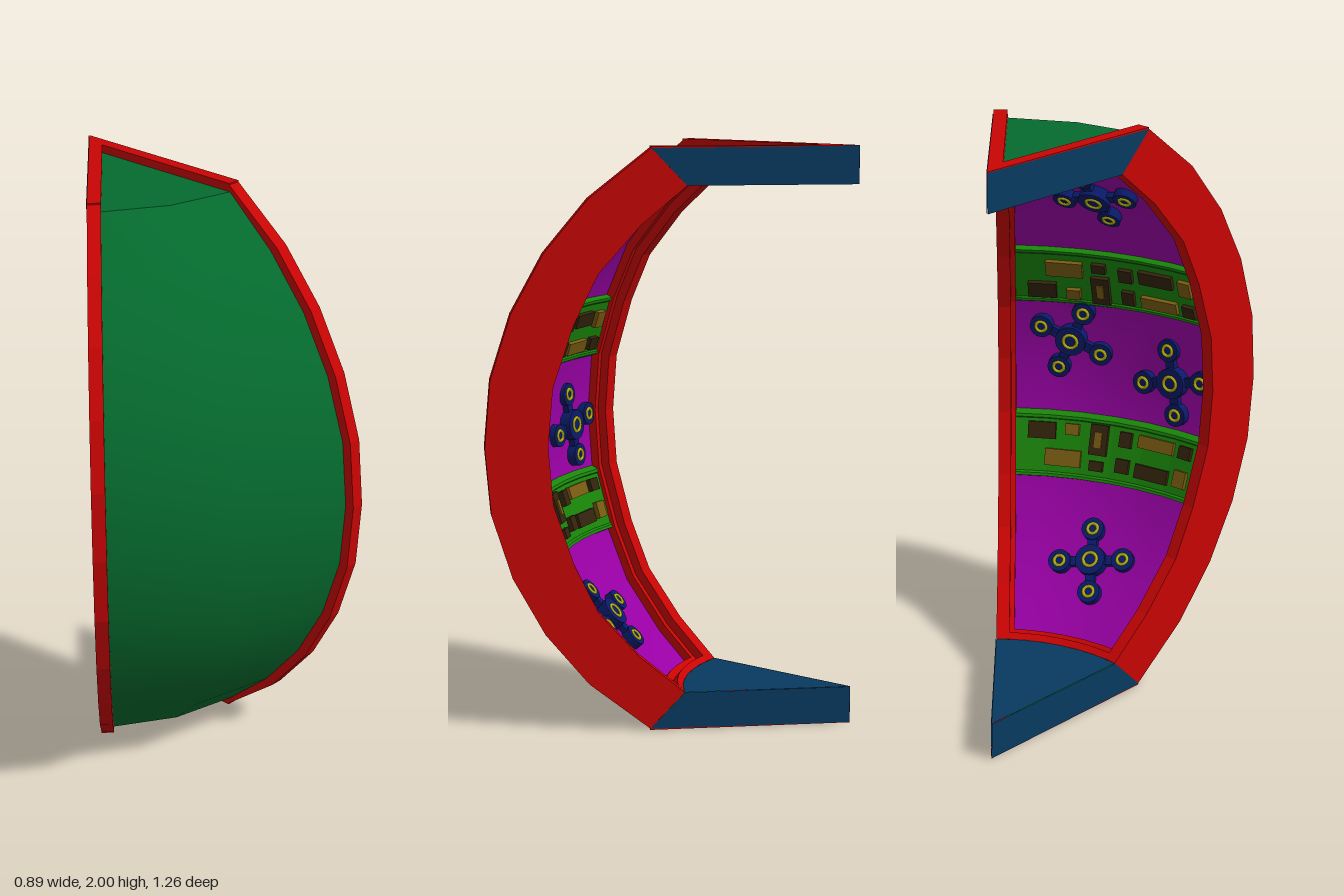
import * as THREE from 'three';

const D = 0.045;                 // width of the rim along the cut planes
const STEP = 0.062;              // width of the stepped inner frame
const WEDGE = Math.PI / 4;       // the slice spans 45 degrees about the axis r = 0
const TIP = D / Math.sin(WEDGE / 2);

const mat = (color, flatShading = false) =>
  new THREE.MeshStandardMaterial({ color, flatShading, side: THREE.DoubleSide });
const RED = mat(0xc80404, true), GREEN = mat(0x056b2e), BLUE = mat(0x073a60, true);
const PURPLE = mat(0x9800a4), BOARD = mat(0x1a860a, true), NAVY = mat(0x0a1a68);
const RING = mat(0xb4b010), DARK = mat(0x33240c, true), TAN = mat(0x7a5c12, true);

// Profiles as [radius, height], top to middle, mirrored to the bottom
const mirrored = (half) => [...half, ...half.slice(0, -1).reverse().map(([r, y]) => [r, 2 - y])];
const outer = mirrored([[0.7, 1.995], [0.91, 1.83], [1.06, 1.65], [1.17, 1.45], [1.24, 1.23], [1.26, 1]]);
const inner = mirrored([[0.58, 1.87], [0.735, 1.74], [0.877, 1.58], [0.96, 1.41], [1.03, 1.2], [1.047, 1]]);
const skin = mirrored([[0.705, 1.972], [0.885, 1.813], [1.03, 1.637], [1.138, 1.442], [1.208, 1.226], [1.228, 1]]);
const lining = mirrored([[0.665, 1.889], [0.784, 1.79], [0.935, 1.62], [1.025, 1.437], [1.099, 1.214], [1.117, 1]]);
const ledge = inner.map(([r, y], i) => [(r + lining[i][0]) / 2, (y + lining[i][1]) / 2]);

function add(parent, name, geometry, material) {
  const mesh = new THREE.Mesh(geometry, material);
  mesh.name = name;
  parent.add(mesh);
  return mesh;
}

// Sweeps [radius, height] rows across the wedge, inset d from both cut planes
function loft(rows, segs, d) {
  const pos = [], idx = [];
  rows.forEach(([r, y], i) => {
    const edge = Math.asin(Math.min(1, d / r));
    for (let k = 0; k <= segs; k++) {
      const a = edge + (WEDGE - 2 * edge) * k / segs;
      pos.push(r * Math.sin(a), y, r * Math.cos(a));
      if (i && k) {
        const q = i * (segs + 1) + k, p = q - segs - 1;
        idx.push(p - 1, q - 1, q, p - 1, q, p);
      }
    }
  });
  const g = new THREE.BufferGeometry();
  g.setAttribute('position', new THREE.Float32BufferAttribute(pos, 3));
  g.setIndex(idx);
  g.computeVertexNormals();
  return g;
}

const shapeOf = (pts) => new THREE.Shape(pts.map(([x, y]) => new THREE.Vector2(x, y)));

// Radius of the lining at a height
function liningRadius(y) {
  const i = Math.max(1, lining.findIndex((p) => p[1] <= y));
  const [r0, y0] = lining[i - 1], [r1, y1] = lining[i];
  return r0 + (r1 - r0) * (y - y0) / (y1 - y0);
}

// Sets an object on the lining with its local z pointing inwards
function place(obj, degrees, y, lift) {
  const a = THREE.MathUtils.degToRad(degrees);
  const slope = (liningRadius(y + 0.03) - liningRadius(y - 0.03)) / 0.06;
  const n = new THREE.Vector3(-Math.sin(a), slope, -Math.cos(a)).normalize();
  const r = liningRadius(y);
  obj.position.set(r * Math.sin(a), y, r * Math.cos(a)).addScaledVector(n, lift);
  obj.quaternion.setFromRotationMatrix(new THREE.Matrix4().lookAt(n, new THREE.Vector3(), new THREE.Vector3(0, 1, 0)));
}

// Hub with four arms, each ending in a ringed disc
function makeRotor(turn) {
  const rotor = new THREE.Group();
  rotor.name = 'rotor';
  const spin = new THREE.Group();
  spin.rotation.z = turn;
  rotor.add(spin);
  const disc = (name, x, y, radius, h) => {
    add(spin, name, new THREE.CylinderGeometry(radius, radius, h, 16).rotateX(Math.PI / 2).translate(x, y, h / 2), NAVY);
    add(spin, name + 'Ring', new THREE.TorusGeometry(radius * 0.45, 0.006, 6, 16).translate(x, y, h), RING);
  };
  disc('hub', 0, 0, 0.055, 0.04);
  for (let i = 0; i < 4; i++) {
    const a = i * Math.PI / 2;
    add(spin, 'arm', new THREE.BoxGeometry(0.1, 0.034, 0.022).translate(0.06, 0, 0.015).rotateZ(a), NAVY);
    disc('armDisc', 0.116 * Math.cos(a), 0.116 * Math.sin(a), 0.041, 0.032);
  }
  return rotor;
}

export function createModel() {
  const model = new THREE.Group();
  model.name = 'shellSegment';
  const body = new THREE.Group();
  body.name = 'body';
  body.position.set(-0.445, 0, -0.63);
  model.add(body);

  // Curved red ribs with an inner ledge, and blue lid ends, on the two cut planes
  const rib = shapeOf([...outer, ...[...inner].reverse()]);
  const ledgeRib = shapeOf([...lining, ...[...ledge].reverse()]);
  for (const [angle, inward] of [[-Math.PI / 2, -1], [-Math.PI / 4, 1]]) {
    const slab = (name, shape, depth) =>
      add(body, name, new THREE.ExtrudeGeometry(shape, { depth, bevelEnabled: false })
        .translate(0, 0, inward < 0 ? -depth : 0).rotateY(angle), RED);
    slab('sideRib', rib, D);
    slab('innerLedge', ledgeRib, STEP);
    for (const m of [(y) => y, (y) => 2 - y]) {
      const end = shapeOf([[0, 1.87], [0.58, 1.87], [0.7, 1.995], [0, 1.998]].map(([r, y]) => [r, m(y)]));
      add(body, 'lidEnd', new THREE.ShapeGeometry(end).translate(0, 0, -0.002 * inward).rotateY(angle), BLUE);
    }
  }

  // Outer skin
  add(body, 'outerSkin', loft(skin, 2, D), GREEN);

  // Lids: green panel, red rim, blue inside face and stepped red lip, at top and bottom
  const s = Math.SQRT1_2;
  const rim = shapeOf([[0, 0], [0, -0.7], [D, -0.7], [D, -TIP * Math.cos(WEDGE / 2)],
    [(0.7 - D) * s, -(0.7 + D) * s], [0.7 * s, -0.7 * s]]);
  for (const m of [(y) => y, (y) => 2 - y]) {
    const rows = (list) => list.map(([r, y]) => [r, m(y)]);
    add(body, 'lidPanel', loft(rows([[TIP, 1.972], [0.705, 1.972]]), 2, D), GREEN);
    add(body, 'lidRim', new THREE.ExtrudeGeometry(rim, { depth: 0.035, bevelEnabled: false })
      .rotateX(-Math.PI / 2).translate(0, m(1.9825) - 0.0175, 0), RED);
    add(body, 'lidInside', loft(rows([[0.001, 1.87], [0.58, 1.87]]), 6, 0), BLUE);
    add(body, 'innerLip', loft(rows([[0.58, 1.87], [0.6, 1.853], [0.622, 1.88], [0.642, 1.862], [0.665, 1.889]]),
      6, D - 0.005), RED);
  }

  // Inner lining
  add(body, 'lining', loft(lining, 6, STEP - 0.002), PURPLE);

  // Circuit bands: chips as [degrees, height offset, width, height, material]
  const chips = [
    [36.5, 0.045, 0.1, 0.06, DARK], [30.5, 0.055, 0.05, 0.04, TAN], [32, -0.045, 0.13, 0.06, TAN],
    [25, 0.03, 0.065, 0.11, DARK], [25, -0.06, 0.05, 0.035, DARK], [19.5, 0.045, 0.045, 0.055, DARK],
    [19.5, -0.045, 0.05, 0.05, DARK], [13, 0.05, 0.14, 0.045, TAN], [13, -0.05, 0.13, 0.05, DARK],
    [6.5, -0.04, 0.05, 0.06, TAN], [6.5, 0.05, 0.05, 0.045, DARK],
  ];
  for (const [mid, flip] of [[0.675, 1], [1.315, -1]]) {
    const rows = [[-0.115, 0], [-0.105, 0.024], [-0.095, 0.024], [-0.09, 0.018], [0, 0.018],
      [0.09, 0.018], [0.095, 0.024], [0.105, 0.024], [0.115, 0]]
      .map(([dy, lift]) => [liningRadius(mid + dy) - lift, mid + dy]);
    add(body, 'circuitBand', loft(rows, 6, STEP - 0.002), BOARD);
    for (const [deg, dy, w, h, material] of chips) {
      const chip = add(body, 'chip', new THREE.BoxGeometry(w, h, 0.03), material);
      place(chip, deg, mid + dy * flip, 0.02);
      if (material === DARK && h > 0.1) {
        add(chip, 'chipCore', new THREE.BoxGeometry(w * 0.4, h * 0.5, 0.008).translate(0, 0, 0.016), TAN);
      }
    }
  }

  // Rotors on the lining
  for (const [deg, y, turn] of [[22.3, 0.315, 0.2], [31.3, 1.07, -0.4], [11, 0.965, 0.2], [22.3, 1.685, 0.2]]) {
    const rotor = makeRotor(turn);
    place(rotor, deg, y, 0.002);
    body.add(rotor);
  }
  return model;
}
